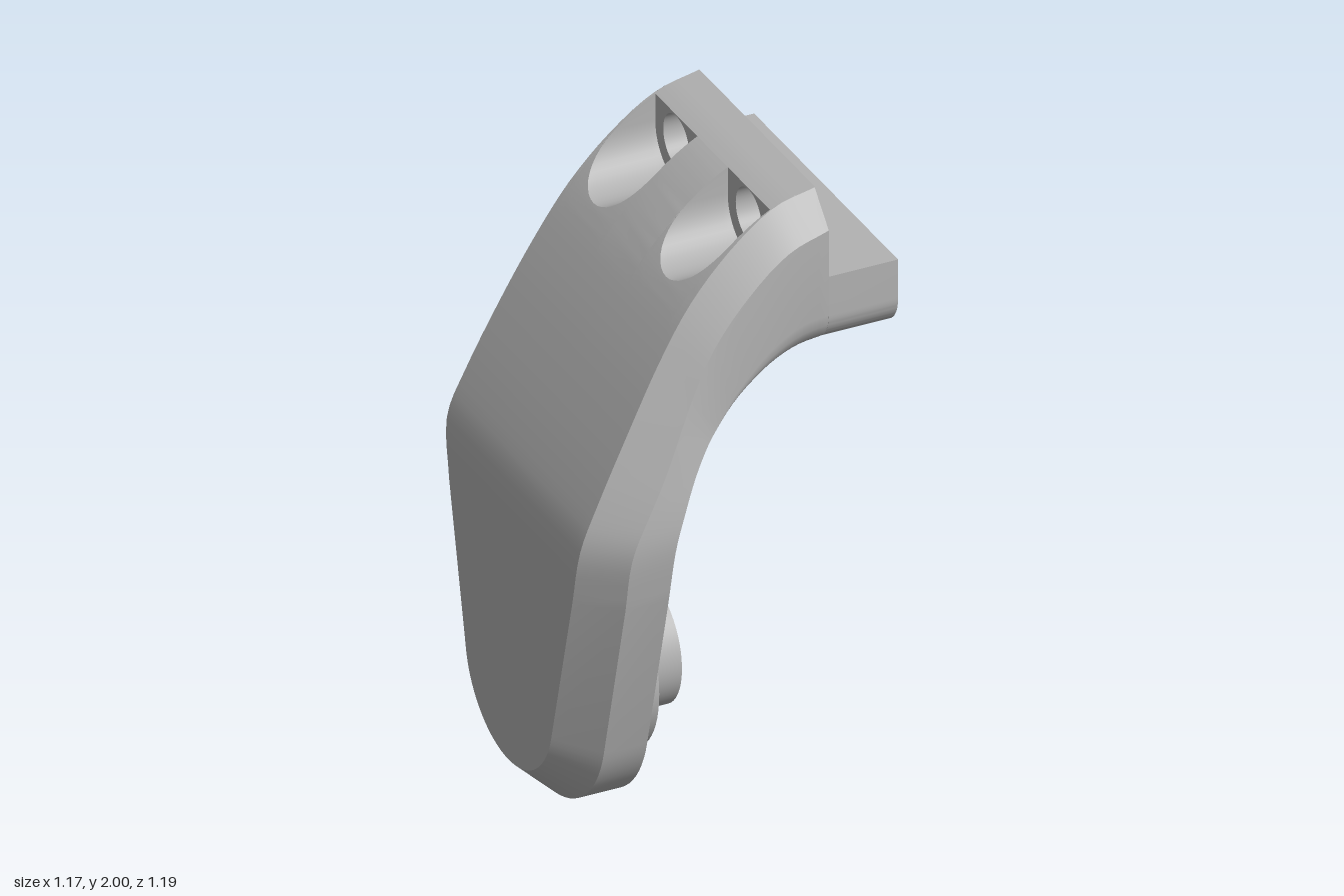
import * as THREE from 'three';
import { toCreasedNormals } from 'three/addons/utils/BufferGeometryUtils.js';

// Working axes: x = thickness of the arm, y = up, z = width. The whole part is turned at the end.
const V = (x, y, z) => new THREE.Vector3(x, y, z);
const lerp = THREE.MathUtils.lerp;

// Arm stations from the knee of the arm up to the head: outer (x, y), inner (x, y), width from / to
const KEYS = [
  [-0.522, 0.85, -0.265, 0.85, -0.515, 0.508],
  [-0.51, 1.03, -0.255, 1.02, -0.552, 0.533],
  [-0.45, 1.18, -0.225, 1.13, -0.548, 0.53],
  [-0.34, 1.39, -0.175, 1.25, -0.54, 0.51],
  [-0.235, 1.57, -0.11, 1.35, -0.532, 0.485],
  [-0.125, 1.73, -0.03, 1.42, -0.525, 0.465],
  [0.007, 1.865, 0.08, 1.475, -0.52, 0.45],
  [0.15, 1.963, 0.19, 1.5, -0.517, 0.435],
  [0.295, 2, 0.295, 1.505, -0.516, 0.422],
];
const CENTRE = -0.016, EYE_Y = 0.395, EYE_R = 0.395;
const POCKET = { centres: [-0.275, 0.197], y: 1.873, r: 0.137, end: 0.148, hole: 0.085 };
const HEAD_X = 0.295, LEDGE_Y = 1.745;

function interp(xs, ys, x) {
  let i = 1;
  while (i < xs.length - 1 && xs[i] < x) i++;
  return lerp(ys[i - 1], ys[i], (x - xs[i - 1]) / (xs[i] - xs[i - 1]));
}

// Surface through a grid of points, dropping collapsed triangles
function gridGeometry(p) {
  const pos = [], tri = new THREE.Triangle();
  const add = (a, b, c) => {
    tri.set(a, b, c);
    if (tri.getArea() > 1e-8) for (const v of [a, b, c]) pos.push(v.x, v.y, v.z);
  };
  for (let i = 0; i < p.length - 1; i++) {
    for (let j = 0; j < p[i].length - 1; j++) {
      add(p[i][j], p[i + 1][j], p[i][j + 1]);
      add(p[i + 1][j], p[i + 1][j + 1], p[i][j + 1]);
    }
  }
  const g = new THREE.BufferGeometry();
  g.setAttribute('position', new THREE.Float32BufferAttribute(pos, 3));
  return toCreasedNormals(g, 0.45);
}

// Rows describing the arm: o = outer face, m = chamfer edge, i = inner face, each with low / high width
function armRows() {
  const rows = [];
  for (let k = 0; k <= 16; k++) {
    const a = THREE.MathUtils.degToRad(lerp(90, 14, k / 16));
    const at = (x, r) => ({ x, y: EYE_Y - r * Math.sin(a), lo: CENTRE - r * Math.cos(a), hi: CENTRE + r * Math.cos(a) });
    rows.push({ o: at(-0.522, EYE_R - 0.11), m: at(-0.405, EYE_R), i: at(-0.265, EYE_R), fillet: 0 });
  }
  const curve = (n) => new THREE.CatmullRomCurve3(KEYS.map((k) => V(k[n], k[n + 1], 0)), false, 'catmullrom');
  const [outer, inner, width] = [0, 2, 4].map(curve);
  for (let k = 0; k <= 32; k++) {
    const t = k / 32;
    const O = outer.getPoint(t), I = inner.getPoint(t), W = width.getPoint(t);
    const inset = lerp(0.11, 0.095, t);
    const M = I.clone().sub(O).setLength(lerp(0.117, 0.1, t)).add(O);
    rows.push({
      o: { x: O.x, y: O.y, lo: W.x + inset, hi: W.y - inset },
      m: { x: M.x, y: M.y, lo: W.x, hi: W.y },
      i: { x: I.x, y: I.y, lo: W.x, hi: W.y },
      fillet: 0.11 * THREE.MathUtils.smoothstep(t, 0.5, 0.95),
    });
  }
  return rows;
}

// Chamfers, sides, rounded inner corners and inner face
function shellGeometry(rows) {
  return gridGeometry(rows.map(({ o, m, i, fillet }) => {
    const up = V(m.x - i.x, m.y - i.y, 0).normalize();
    const corner = (edge, sign) => Array.from({ length: 6 }, (_, k) => {
      const a = (k / 5) * Math.PI / 2, h = fillet * (1 - Math.sin(a));
      return V(i.x + up.x * h, i.y + up.y * h, edge + sign * fillet * (1 - Math.cos(a)));
    });
    return [V(o.x, o.y, o.lo), V(m.x, m.y, m.lo), ...corner(i.lo, 1),
      ...corner(i.hi, -1).reverse(), V(m.x, m.y, m.hi), V(o.x, o.y, o.hi)];
  }));
}

// Outer face with the two screw pockets sunk into it
function outerGeometries(rows) {
  const st = rows.slice(17).map((r) => r.o);
  const xs = st.map((s) => s.x), ys = st.map((s) => s.y);
  const height = (x) => interp(xs, ys, x), xAt = (y) => interp(ys, xs, y);
  const lo = (x) => interp(xs, st.map((s) => s.lo), x), hi = (x) => interp(xs, st.map((s) => s.hi), x);
  const x0 = -0.17, N = 10, { r, y: cy, end } = POCKET;

  const cols = [{ edge: lo }];
  for (const c of POCKET.centres) {
    cols.push({ w: c - r });
    for (let k = 0; k <= 20; k++) {
      const a = Math.PI * k / 20;
      cols.push({ w: c - r * Math.cos(a), floor: cy - r * Math.sin(a) });
    }
    cols.push({ w: c + r });
  }
  cols.push({ edge: hi });

  const lower = [], upper = [];
  for (const { edge, w, floor } of cols) {
    const z = edge || (() => w);
    const share = (z(x0) - lo(x0)) / (hi(x0) - lo(x0));
    const col = rows.filter(({ o }) => o.x < x0).map(({ o }) => V(o.x, o.y, lerp(o.lo, o.hi, share)));
    const start = xAt(floor ?? cy);
    for (let k = 0; k <= N; k++) {
      const x = lerp(x0, start, k / N);
      col.push(V(x, height(x), z(x)));
    }
    for (let k = 1; k <= N; k++) {
      const x = lerp(start, end, k / N);
      col.push(V(x, floor ?? height(x), z(x)));
    }
    lower.push(col);
    upper.push(Array.from({ length: 7 }, (_, k) => {
      const x = lerp(end, HEAD_X, k / 6);
      return V(x, height(x), z(x));
    }));
  }
  return { lower: gridGeometry(lower), upper: gridGeometry(upper), wallTop: height(end) };
}

const circle = (x, y, r) => new THREE.Path().absarc(x, y, r, 0, Math.PI * 2, true);

export function createModel() {
  const model = new THREE.Group();
  model.name = 'bracketArm';
  const grey = new THREE.MeshStandardMaterial({ color: 0xb2b2b2, side: THREE.DoubleSide });
  grey.name = 'plain grey';
  const add = (name, geometry, x = 0, y = 0, z = 0) => {
    const mesh = new THREE.Mesh(geometry, grey);
    mesh.name = name;
    mesh.position.set(x, y, z);
    model.add(mesh);
  };

  // Curved arm
  const rows = armRows();
  const outer = outerGeometries(rows);
  add('armShell', shellGeometry(rows));
  add('armOuterFace', outer.lower);
  add('headTop', outer.upper);

  // Head front face with two screw holes (shape x is minus width)
  const { o, m } = rows[rows.length - 1];
  const face = new THREE.Shape([[m.lo, LEDGE_Y], [m.lo, m.y], [o.lo, 2], [o.hi, 2], [m.hi, m.y], [m.hi, LEDGE_Y]]
    .map(([w, y]) => new THREE.Vector2(-w, y)));
  face.holes = POCKET.centres.map((c) => circle(-c, POCKET.y, POCKET.hole));
  add('headFront', new THREE.ShapeGeometry(face, 24).rotateY(Math.PI / 2), HEAD_X);

  // Pocket end walls and the bores through the head
  for (const c of POCKET.centres) {
    const wall = new THREE.Shape();
    wall.moveTo(POCKET.r, outer.wallTop).lineTo(-POCKET.r, outer.wallTop).lineTo(-POCKET.r, POCKET.y);
    wall.absarc(0, POCKET.y, POCKET.r, Math.PI, Math.PI * 2, false);
    wall.holes.push(circle(0, POCKET.y, POCKET.hole));
    add('pocketWall', new THREE.ShapeGeometry(wall, 24).rotateY(-Math.PI / 2), POCKET.end, 0, c);
    const depth = HEAD_X - POCKET.end;
    add('screwBore', new THREE.CylinderGeometry(POCKET.hole, POCKET.hole, depth, 48, 1, true).rotateZ(Math.PI / 2),
      POCKET.end + depth / 2, POCKET.y, c);
  }

  // Ledge with rounded lower corners
  const b = 1.505, R = 0.11, l = -m.hi, r = -m.lo;
  const ledge = new THREE.Shape();
  ledge.moveTo(r, LEDGE_Y).lineTo(l, LEDGE_Y).lineTo(l, b + R);
  ledge.absarc(l + R, b + R, R, Math.PI, Math.PI * 1.5, false);
  ledge.absarc(r - R, b + R, R, Math.PI * 1.5, Math.PI * 2, false);
  const ledgeGeometry = new THREE.ExtrudeGeometry(ledge, { depth: 0.519 - HEAD_X, bevelEnabled: false, curveSegments: 10 });
  add('ledge', toCreasedNormals(ledgeGeometry, 0.45).rotateY(Math.PI / 2), HEAD_X);

  // Pivot boss and pin
  for (const [name, radius, tip] of [['pivotBoss', 0.295, -0.182], ['pivotPin', 0.193, -0.058]]) {
    const length = tip + 0.3;
    add(name, new THREE.CylinderGeometry(radius, radius, length, 64).rotateZ(-Math.PI / 2), tip - length / 2, EYE_Y, CENTRE);
  }

  model.rotation.y = 0.1767;
  return model;
}
